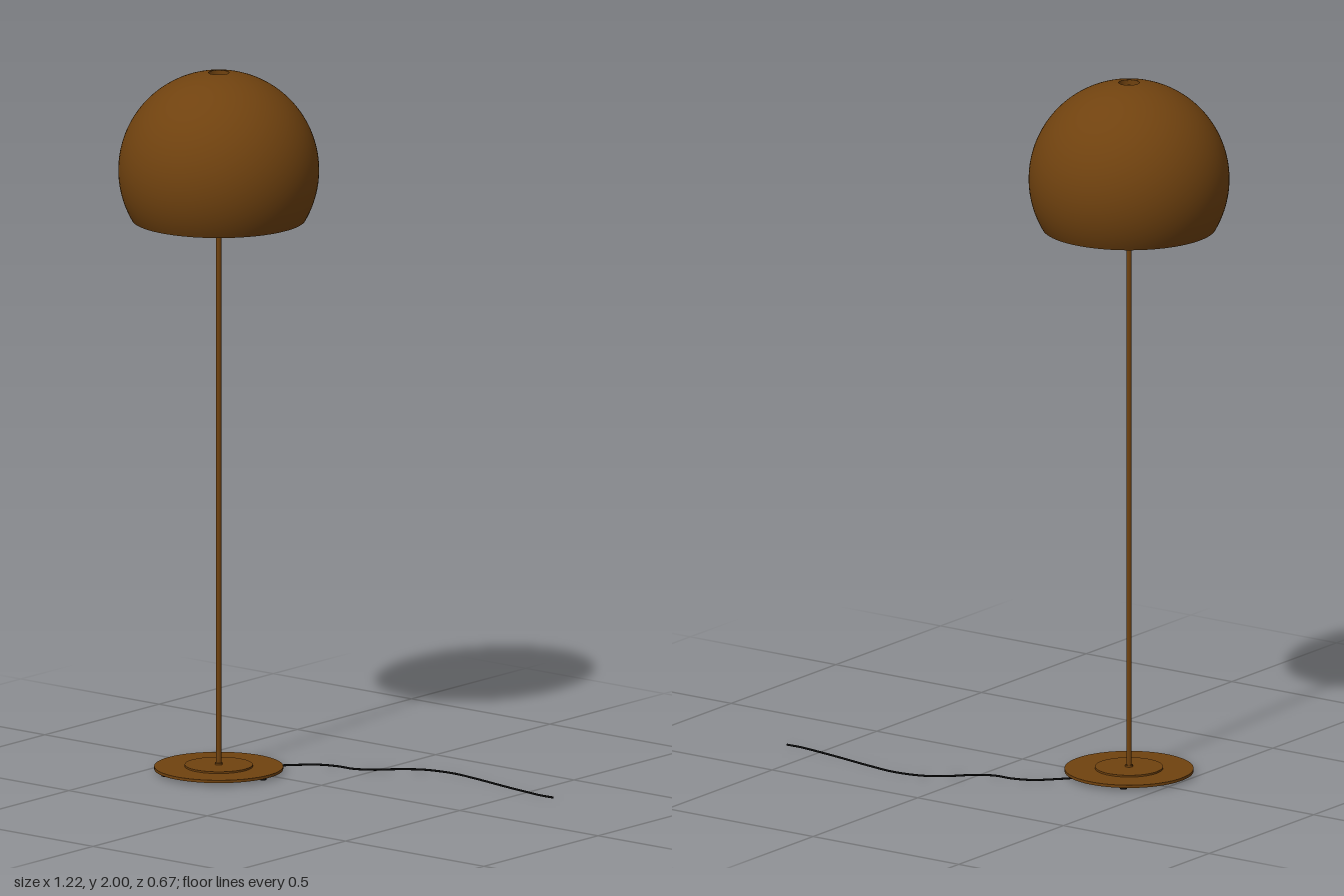
import * as THREE from 'three';

export function createModel() {
  const root = new THREE.Group();
  const lamp = new THREE.Group();
  lamp.name = 'lamp';
  lamp.position.set(-0.33, 0, 0.05);
  root.add(lamp);

  const brown = new THREE.MeshStandardMaterial({ color: 0x70420f });
  const brownThin = new THREE.MeshStandardMaterial({ color: 0x70420f, side: THREE.DoubleSide });
  const black = new THREE.MeshStandardMaterial({ color: 0x0c0c0c });

  const add = (parent, name, geometry, material, x = 0, y = 0, z = 0) => {
    const mesh = new THREE.Mesh(geometry, material);
    mesh.name = name;
    mesh.position.set(x, y, z);
    parent.add(mesh);
    return mesh;
  };
  const disc = (name, r, y0, y1, material, x = 0, z = 0, sides = 64) =>
    add(lamp, name, new THREE.CylinderGeometry(r, r, y1 - y0, sides), material, x, (y0 + y1) / 2, z);

  // Weighted base with a raised centre plate and a collar for the pole
  disc('base', 0.18, 0.008, 0.016, brown);
  disc('basePlate', 0.095, 0.016, 0.021, brown);
  disc('poleCollar', 0.011, 0.021, 0.026, brown, 0, 0, 32);

  // Three small feet
  for (let i = 0; i < 3; i++) {
    const a = (i * Math.PI * 2) / 3;
    disc('foot', 0.01, 0, 0.008, black, 0.16 * Math.cos(a), 0.16 * Math.sin(a), 24);
  }

  // Pole, running up into the cup at the top of the shade
  disc('pole', 0.0075, 0.02, 1.99, brown, 0, 0, 32);

  // Globe shade: a sphere cut open below, with a small round hole on top
  const R = 0.28, thickness = 0.003;
  const holeAngle = Math.asin(0.029 / R);
  const rimAngle = Math.PI / 2 + Math.asin(0.14 / R);
  const shell = (r, from, to) => Array.from({ length: 49 }, (_, i) => {
    const a = from + ((to - from) * i) / 48;
    return new THREE.Vector2(r * Math.sin(a), r * Math.cos(a));
  });
  add(lamp, 'shadeOuter', new THREE.LatheGeometry(shell(R, holeAngle, rimAngle), 96), brownThin, 0, 1.72);
  add(lamp, 'shadeInner', new THREE.LatheGeometry(shell(R - thickness, rimAngle, holeAngle), 96), brownThin, 0, 1.72);
  const rim = new THREE.RingGeometry((R - thickness) * Math.sin(rimAngle), R * Math.sin(rimAngle), 96);
  add(lamp, 'shadeRim', rim, brownThin, 0, 1.58).rotation.x = Math.PI / 2;

  // Recessed cup that carries the shade on the pole
  add(lamp, 'cupWall', new THREE.CylinderGeometry(0.029, 0.029, 0.018, 48, 1, true), brownThin, 0, 1.9894);
  disc('cupFloor', 0.029, 1.978, 1.982, brown, 0, 0, 48);

  // Power cord lying on the floor
  const path = [
    [-0.26, -0.07], [-0.21, -0.13], [-0.16, -0.177], [-0.105, -0.197], [-0.05, -0.2],
    [0, -0.226], [0.05, -0.276], [0.11, -0.317], [0.2, -0.333], [0.3, -0.32],
    [0.42, -0.297], [0.52, -0.28], [0.57, -0.274], [0.61, -0.275],
  ].map(([x, z]) => new THREE.Vector3(x, 0.005, z));
  add(root, 'cord', new THREE.TubeGeometry(new THREE.CatmullRomCurve3(path), 160, 0.003, 10), black);
  const tip = add(root, 'cordEnd', new THREE.CircleGeometry(0.003, 10), black, 0.61, 0.005, -0.275);
  tip.rotation.y = Math.PI / 2;

  return root;
}
